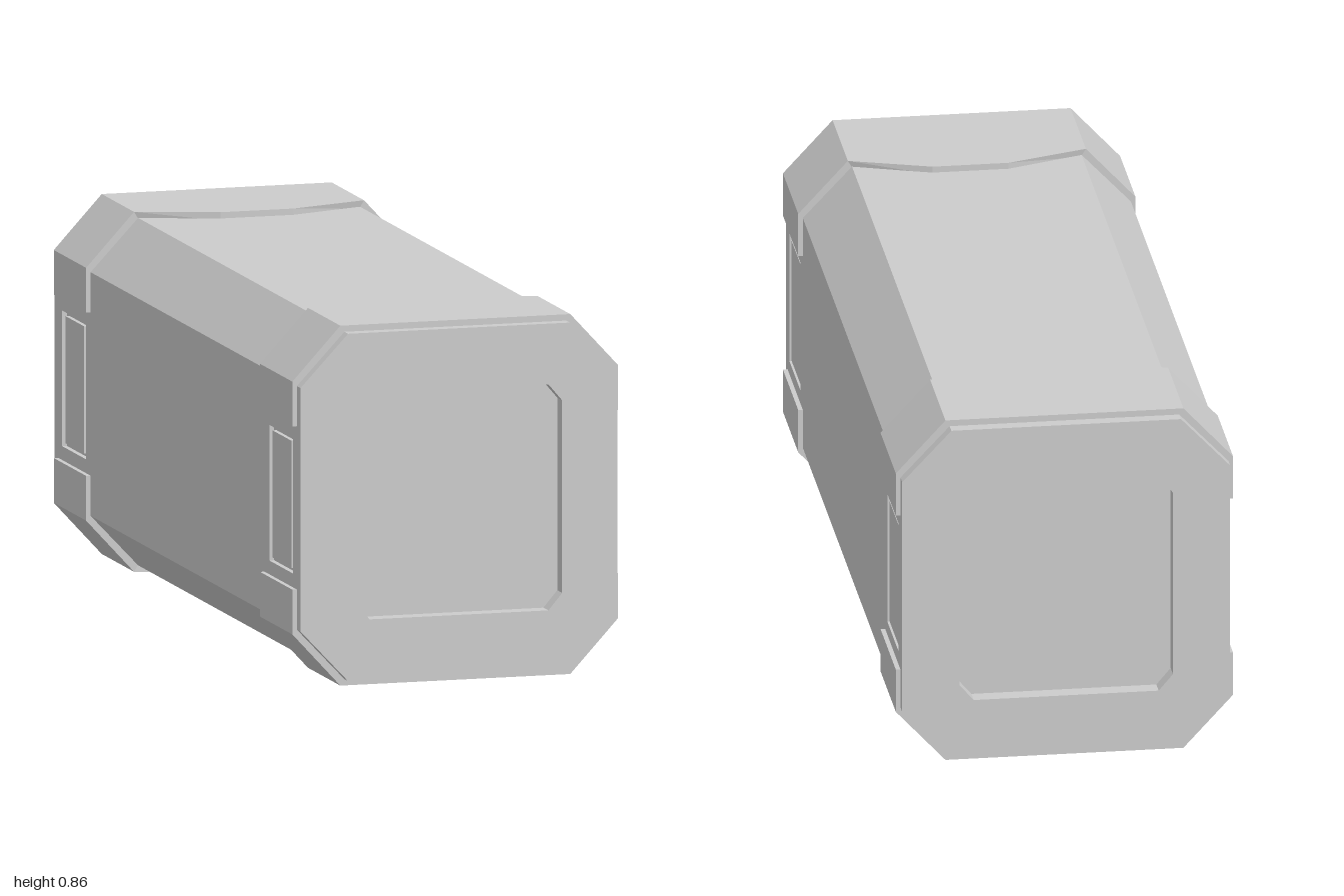
import * as THREE from 'three';

const material = new THREE.MeshStandardMaterial({ color: 0xcccccc, flatShading: true });

// Flat-shaded skin through a row of equal-length loops; loops run counter-clockwise seen from ahead.
function loft(loops, { startCap = true, endCap = true, skip = () => false } = {}) {
  const pos = [];
  const tri = (...pts) => pts.forEach((p) => pos.push(...p));
  const n = loops[0].length;
  for (let s = 0; s < loops.length - 1; s++) {
    const a = loops[s], b = loops[s + 1];
    for (let i = 0; i < n; i++) {
      if (skip(s, i)) continue;
      const j = (i + 1) % n;
      tri(a[i], a[j], b[j]);
      tri(a[i], b[j], b[i]);
    }
  }
  const first = loops[0], last = loops[loops.length - 1];
  for (let i = 1; i < n - 1; i++) {
    if (startCap) tri(first[0], first[i + 1], first[i]);
    if (endCap) tri(last[0], last[i], last[i + 1]);
  }
  const geometry = new THREE.BufferGeometry();
  geometry.setAttribute('position', new THREE.Float32BufferAttribute(pos, 3));
  geometry.computeVertexNormals();
  return geometry;
}

// Rectangle with cut corners; edges 0 and 4 are the two upright sides.
const octagon = (x, y, cx, cy, z) => [
  [x, -cy, z], [x, cy, z], [cx, y, z], [-cx, y, z],
  [-x, cy, z], [-x, -cy, z], [-cx, -y, z], [cx, -y, z],
];

const SIDE_X = 0.39, SIDE_Y = 0.291, PANEL_Z = 0.842;

// Long body with a shallow recess in each end; the upright sides are left open
function bodyGeometry() {
  const outer = (z) => octagon(SIDE_X, 0.415, 0.273, SIDE_Y, z);
  const recess = (z) => octagon(0.254, 0.27, 0.22, 0.23, z);
  return loft(
    [recess(-0.96), recess(-1), outer(-1), outer(1), recess(1), recess(0.96)],
    { skip: (s, i) => s === 2 && i % 4 === 0 },
  );
}

const rectPoints = (cx, hx, hy) => [
  new THREE.Vector2(cx - hx, -hy), new THREE.Vector2(cx + hx, -hy),
  new THREE.Vector2(cx + hx, hy), new THREE.Vector2(cx - hx, hy),
];

// Side wall with an opening near each end
function sideGeometry() {
  const shape = new THREE.Shape(rectPoints(0, 1, SIDE_Y));
  for (const s of [-1, 1]) shape.holes.push(new THREE.Path(rectPoints(s * PANEL_Z, 0.096, 0.162)));
  return new THREE.ShapeGeometry(shape).rotateY(Math.PI / 2).translate(SIDE_X, 0, 0);
}

// Panel surrounded by a narrow groove, filling one opening
function panelGeometry(cz) {
  const rect = (x, hy, hz) => [
    [x, -hy, cz - hz], [x, hy, cz - hz], [x, hy, cz + hz], [x, -hy, cz + hz],
  ];
  const floor = SIDE_X - 0.012;
  return loft(
    [rect(SIDE_X, 0.162, 0.096), rect(floor, 0.162, 0.096), rect(floor, 0.152, 0.076), rect(SIDE_X - 0.002, 0.152, 0.076)],
    { startCap: false },
  );
}

// Bracket folded over two corners, with a tongue in the middle of its inner edge
function bracketGeometry() {
  // outer x, outer y, inner x, inner y, inner edge z
  const half = [
    [0.401, 0.195, 0.385, 0.195, 0.707],
    [0.401, 0.302, 0.385, 0.289, 0.707],
    [0.283, 0.43, 0.271, 0.41, 0.707],
    [0.09, 0.43, 0.09, 0.41, 0.643],
  ];
  const mirrored = half.map(([ox, oy, ix, iy, z]) => [-ox, oy, -ix, iy, z]).reverse();
  return loft([...half, ...mirrored].map(([ox, oy, ix, iy, z]) => [
    [ix, iy, 0.97], [ox, oy, 0.97], [ox, oy, z], [ix, iy, z],
  ]));
}

export function createModel() {
  const model = new THREE.Group();
  model.name = 'container';
  const add = (name, geometry, rotation = [0, 0, 0]) => {
    const mesh = new THREE.Mesh(geometry, material);
    mesh.name = name;
    mesh.position.y = 0.43;
    mesh.rotation.set(...rotation);
    model.add(mesh);
  };

  add('body', bodyGeometry());

  // Sides and their panels, turned half round for the other side
  const side = sideGeometry(), panels = [panelGeometry(PANEL_Z), panelGeometry(-PANEL_Z)];
  for (const [name, turn] of [['left', 0], ['right', Math.PI]]) {
    add(`${name}Side`, side, [0, turn, 0]);
    panels.forEach((panel) => add(`${name}Panel`, panel, [0, turn, 0]));
  }

  // Four brackets, each a half turn of the first
  const bracket = bracketGeometry();
  add('frontTopBracket', bracket);
  add('backTopBracket', bracket, [0, Math.PI, 0]);
  add('frontBottomBracket', bracket, [0, 0, Math.PI]);
  add('backBottomBracket', bracket, [Math.PI, 0, 0]);
  return model;
}
